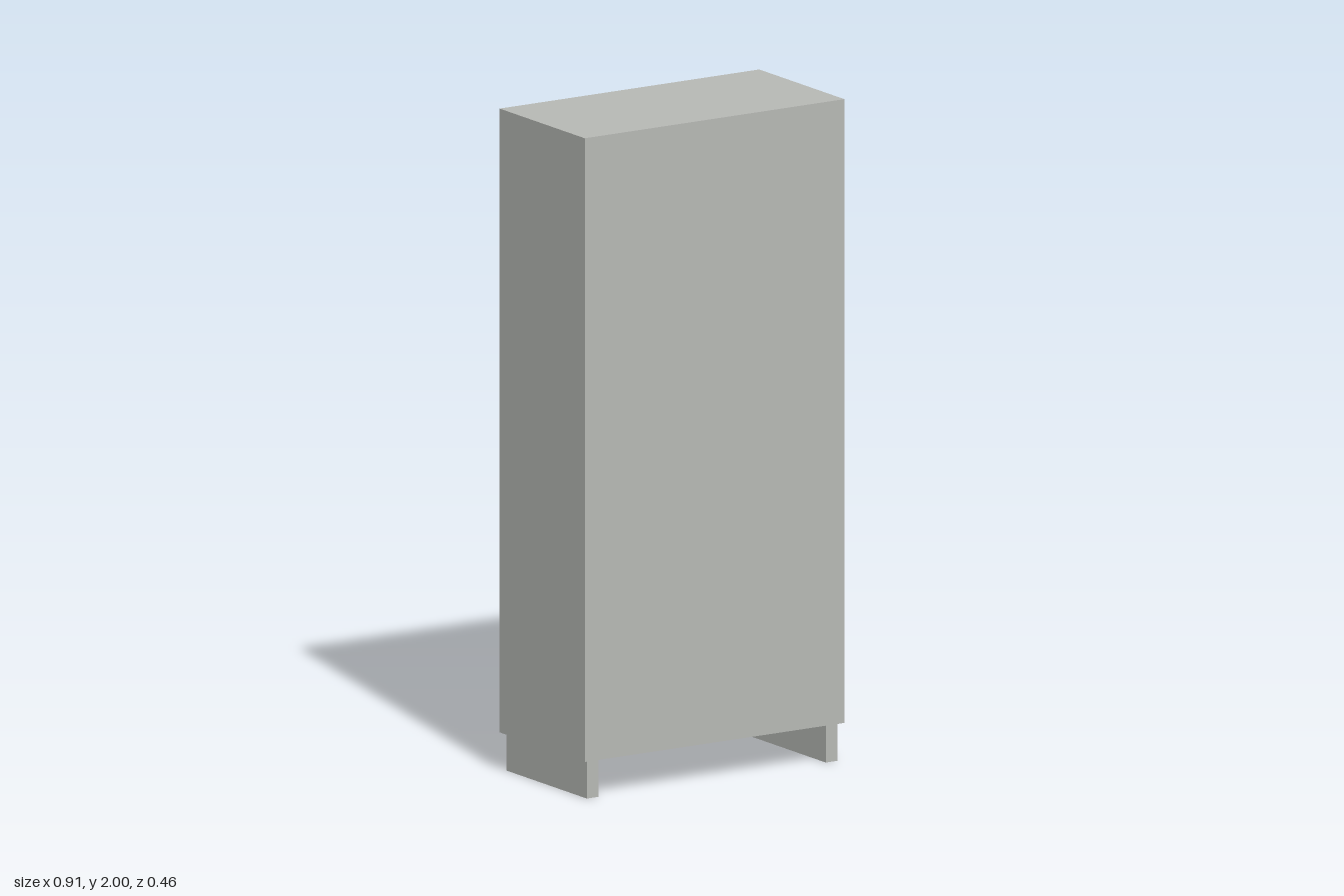
import * as THREE from 'three';

export function createModel() {
  const model = new THREE.Group();
  const body = new THREE.MeshStandardMaterial({ color: 0xb8bab6 });
  body.name = 'warm grey';
  const glass = new THREE.MeshStandardMaterial({ color: 0x899fa3 });
  glass.name = 'blue grey';

  // Adds a box from its low and high corners
  const box = (name, mat, [x0, y0, z0], [x1, y1, z1]) => {
    const mesh = new THREE.Mesh(new THREE.BoxGeometry(x1 - x0, y1 - y0, z1 - z0), mat);
    mesh.position.set((x0 + x1) / 2, (y0 + y1) / 2, (z0 + z1) / 2);
    mesh.name = name;
    model.add(mesh);
  };

  const W = 0.457, D = 0.228, Y0 = 0.115, Y1 = 2, T = 0.025;

  // Cabinet shell, closed at the front and open at the back
  box('frontPanel', body, [-W, Y0, D - T], [W, Y1, D]);
  box('topPanel', body, [-W + T, Y1 - T, -D], [W - T, Y1, D - T]);
  box('bottomPanel', body, [-W + T, Y0, -D], [W - T, Y0 + T, D - T]);

  // Side walls and the plinth rails below them
  for (const [side, s] of [['left', 1], ['right', -1]]) {
    const xs = (a, b) => (s > 0 ? [a, b] : [-b, -a]);
    const [w0, w1] = xs(W - T, W);
    box(side + 'Wall', body, [w0, Y0, -D], [w1, Y1, D - T]);
    const [r0, r1] = xs(0.4, 0.441);
    box(side + 'FootRail', body, [r0, 0, -0.215], [r1, Y0, 0.215]);
  }

  // Recessed panel set into the rear opening
  box('recessedPanel', glass, [-W + T, Y0 + T, -D + 0.013], [W - T, Y1 - T, -D + 0.028]);

  return model;
}
